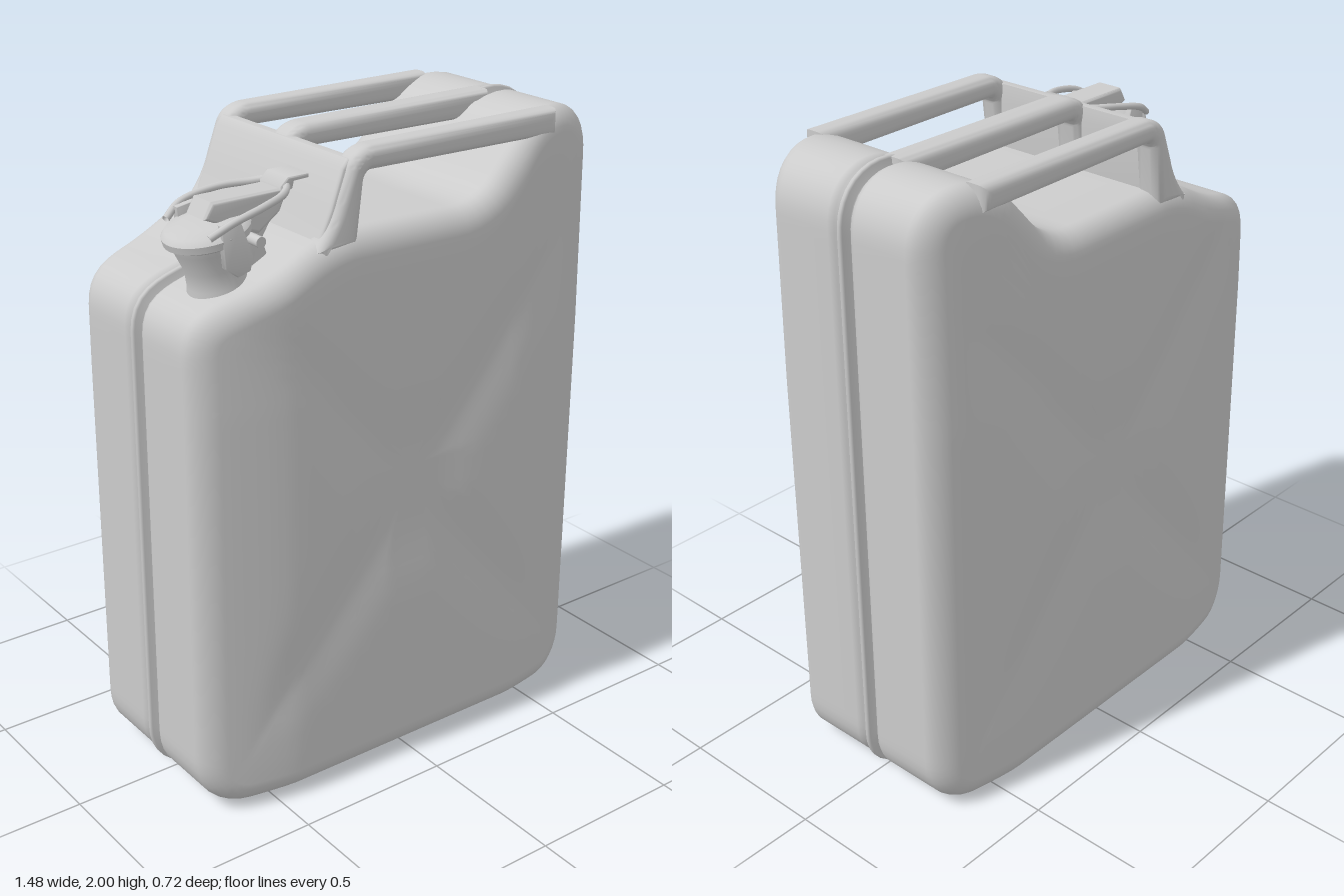
import * as THREE from 'three';
import { toCreasedNormals } from 'three/addons/utils/BufferGeometryUtils.js';

const metal = new THREE.MeshStandardMaterial({ color: 0xcccccc });

function add(parent, geometry, name, x = 0, y = 0, z = 0) {
  const mesh = new THREE.Mesh(geometry, metal);
  mesh.name = name;
  mesh.position.set(x, y, z);
  parent.add(mesh);
  return mesh;
}

// Side profile extruded along z, centred, with rounded edges
function rounded(shape, width, bevel) {
  const geo = new THREE.ExtrudeGeometry(shape, {
    depth: width - 2 * bevel, bevelEnabled: true, bevelSize: bevel, bevelThickness: bevel,
    bevelOffset: -bevel, bevelSegments: 5, curveSegments: 10,
  });
  geo.translate(0, 0, -(width - 2 * bevel) / 2);
  return toCreasedNormals(geo, 0.9);
}

const polygon = (pts) => new THREE.Shape(pts.map(([x, y]) => new THREE.Vector2(x, y)));

// Side outline of the tank, counter-clockwise, with the recess below the handles
function tankOutline() {
  const s = new THREE.Shape();
  s.moveTo(-0.58, 0.02);
  s.lineTo(0.58, 0.015);
  s.bezierCurveTo(0.66, 0.015, 0.725, 0.08, 0.725, 0.17);
  s.lineTo(0.728, 1.84);
  s.bezierCurveTo(0.725, 1.93, 0.67, 1.99, 0.58, 1.995);
  s.quadraticCurveTo(0.47, 2.0, 0.39, 1.905);
  s.lineTo(0.33, 1.84);
  s.quadraticCurveTo(0.27, 1.765, 0.17, 1.76);
  s.lineTo(-0.22, 1.765);
  s.quadraticCurveTo(-0.32, 1.755, -0.4, 1.71);
  s.quadraticCurveTo(-0.49, 1.66, -0.58, 1.635);
  s.bezierCurveTo(-0.67, 1.61, -0.725, 1.58, -0.726, 1.48);
  s.lineTo(-0.735, 0.18);
  s.bezierCurveTo(-0.735, 0.09, -0.67, 0.02, -0.58, 0.02);
  return s;
}

// Half thickness of the tank: tapers to the sides, with a shallow pressed cross
function halfDepth(x, y) {
  const side = Math.max(0, Math.abs(x) - 0.42) / 0.31;
  const top = Math.max(0, y - 1.3) / 0.7;
  const u = Math.abs(x) / 0.5, v = Math.abs(y - 0.93) / 0.6;
  const fade = Math.max(0, 1 - Math.max(u / 1.15, v / 1.15) ** 4);
  const cross = Math.exp(-(((u - v) / 0.28) ** 2));
  const centre = Math.exp(-((u / 0.4) ** 4) - (v / 0.45) ** 4);
  return 0.362 - 0.062 * side ** 1.3 - 0.012 * top - 0.014 * fade * Math.max(cross, centre);
}

function tankGeometry() {
  const pts = tankOutline().getSpacedPoints(200);
  pts.pop();
  const n = pts.length;
  const normals = pts.map((p, i) => {
    const t = pts[(i + 1) % n].clone().sub(pts[(i + n - 1) % n]).normalize();
    return new THREE.Vector2(t.y, -t.x);
  });
  // Rings as [scale, inset, depth factor, fixed z]
  const half = [];
  for (let k = 0; k <= 14; k++) half.push([k / 14, 0.075, 1]);
  for (let k = 1; k <= 6; k++) {
    const a = (k / 6) * Math.PI / 2;
    half.push([1, 0.075 * (1 - Math.sin(a)), 0.82 + 0.18 * Math.cos(a)]);
  }
  half.push([1, 0, 0.5], [1, 0, 0, 0.05], [1, 0.008, 0, 0.032], [1, 0.026, 0, 0.019],
    [1, 0.024, 0, 0.012], [1, -0.002, 0, 0.009], [1, -0.008, 0, 0.004]);
  const rings = half.map((r) => [...r, 1]).concat(half.slice().reverse().map((r) => [...r, -1]));
  const pos = [], index = [];
  rings.forEach((ring, r) => {
    const [scale, inset, f] = ring, sign = ring[ring.length - 1];
    const fixed = ring.length === 5 ? ring[3] : null;
    pts.forEach((p, i) => {
      // The seam fades out in the handle recess
      const plain = fixed !== null && p.x > -0.3 && p.x < 0.46 && p.y > 1.7;
      const d = plain ? 0 : inset;
      const x = (p.x - normals[i].x * d) * scale;
      const y = 1 + (p.y - normals[i].y * d - 1) * scale;
      pos.push(x, y, sign * (fixed ?? halfDepth(x, y) * f));
      if (r + 1 < rings.length) {
        const j = (i + 1) % n, a = r * n + i, b = r * n + j, c = a + n, e = b + n;
        index.push(a, c, e, a, e, b);
      }
    });
  });
  const geo = new THREE.BufferGeometry();
  geo.setAttribute('position', new THREE.Float32BufferAttribute(pos, 3));
  geo.setIndex(index);
  geo.computeVertexNormals();
  return geo;
}

// Carrying handle: sloping post that bends into a level grip
function handleShape() {
  const s = new THREE.Shape();
  s.moveTo(-0.34, 1.72);
  s.quadraticCurveTo(-0.28, 1.78, -0.255, 1.86);
  s.lineTo(-0.225, 1.94);
  s.quadraticCurveTo(-0.205, 1.99, -0.14, 1.995);
  s.lineTo(0.54, 1.998);
  s.lineTo(0.54, 1.92);
  s.lineTo(-0.15, 1.926);
  s.quadraticCurveTo(-0.168, 1.92, -0.172, 1.9);
  s.lineTo(-0.195, 1.72);
  s.closePath();
  return s;
}

function fillerCap() {
  const cap = new THREE.Group();
  cap.name = 'fillerCap';
  cap.position.z = 0.165;

  // Neck and lid lean outwards with the shoulder
  const spout = new THREE.Group();
  spout.name = 'spout';
  spout.position.set(-0.545, 1.62, 0);
  spout.rotation.z = 0.2;
  cap.add(spout);
  const v = (x, y) => new THREE.Vector2(x, y);
  add(spout, new THREE.LatheGeometry([v(0.1, -0.03), v(0.085, 0.03), v(0.083, 0.08),
    v(0.1, 0.14), v(0.105, 0.17)], 32), 'neck').material.side = THREE.DoubleSide;
  const lid = [v(0, 0.155), v(0.105, 0.155), v(0.123, 0.165), v(0.125, 0.185), v(0.112, 0.2),
    v(0.07, 0.208), v(0, 0.21)];
  add(spout, toCreasedNormals(new THREE.LatheGeometry(lid, 32), 0.7), 'lid');

  // Lever bridge over the lid
  add(cap, rounded(polygon([[-0.615, 1.84], [-0.5, 1.79], [-0.44, 1.77], [-0.37, 1.82],
    [-0.34, 1.885], [-0.59, 1.885]]), 0.1, 0.012), 'leverBridge');
  add(cap, rounded(polygon([[-0.37, 1.865], [-0.33, 1.88], [-0.325, 1.9], [-0.275, 1.902],
    [-0.275, 1.914], [-0.345, 1.914], [-0.37, 1.89]]), 0.105, 0.005), 'thumbTab');

  // Wire loop around the lid
  const side = [[-0.64, 1.81, 0.11], [-0.58, 1.845, 0.13], [-0.47, 1.87, 0.12], [-0.38, 1.88, 0.08],
    [-0.345, 1.89, 0.04]];
  const loop = [...side, ...side.slice().reverse().map(([x, y, z]) => [x, y, -z])];
  const curve = new THREE.CatmullRomCurve3(loop.map((p) => new THREE.Vector3(...p)));
  add(cap, new THREE.TubeGeometry(curve, 60, 0.011, 8), 'leverLoop');

  // Hinge bracket, pin and locking lugs
  add(cap, rounded(polygon([[-0.5, 1.64], [-0.4, 1.69], [-0.42, 1.75], [-0.37, 1.83],
    [-0.43, 1.84], [-0.5, 1.76]]), 0.07, 0.01), 'hingeBracket');
  add(cap, new THREE.CylinderGeometry(0.016, 0.016, 0.2, 16).rotateX(Math.PI / 2),
    'hingePin', -0.47, 1.765, 0);
  for (const s of [1, -1]) {
    add(cap, rounded(polygon([[-0.6, 1.72], [-0.56, 1.69], [-0.52, 1.7], [-0.51, 1.74],
      [-0.55, 1.85], [-0.61, 1.84]]), 0.025, 0.007), s > 0 ? 'frontLug' : 'backLug', 0, 0, s * 0.112);
  }
  return cap;
}

export function createModel() {
  const can = new THREE.Group();
  can.name = 'fuelCan';
  add(can, tankGeometry(), 'tank');

  // Three parallel handles
  [['frontHandle', 0.3, 0.085], ['middleHandle', -0.01, 0.1], ['backHandle', -0.305, 0.085]]
    .forEach(([name, z, width]) => add(can, rounded(handleShape(), width, 0.028), name, 0, 0, z));

  // Cross wall joining the posts
  add(can, rounded(polygon([[-0.33, 1.71], [-0.275, 1.83], [-0.235, 1.94], [-0.215, 1.965],
    [-0.19, 1.965], [-0.185, 1.92], [-0.2, 1.71]]), 0.64, 0.015), 'crossWall');

  can.add(fillerCap());
  return can;
}
